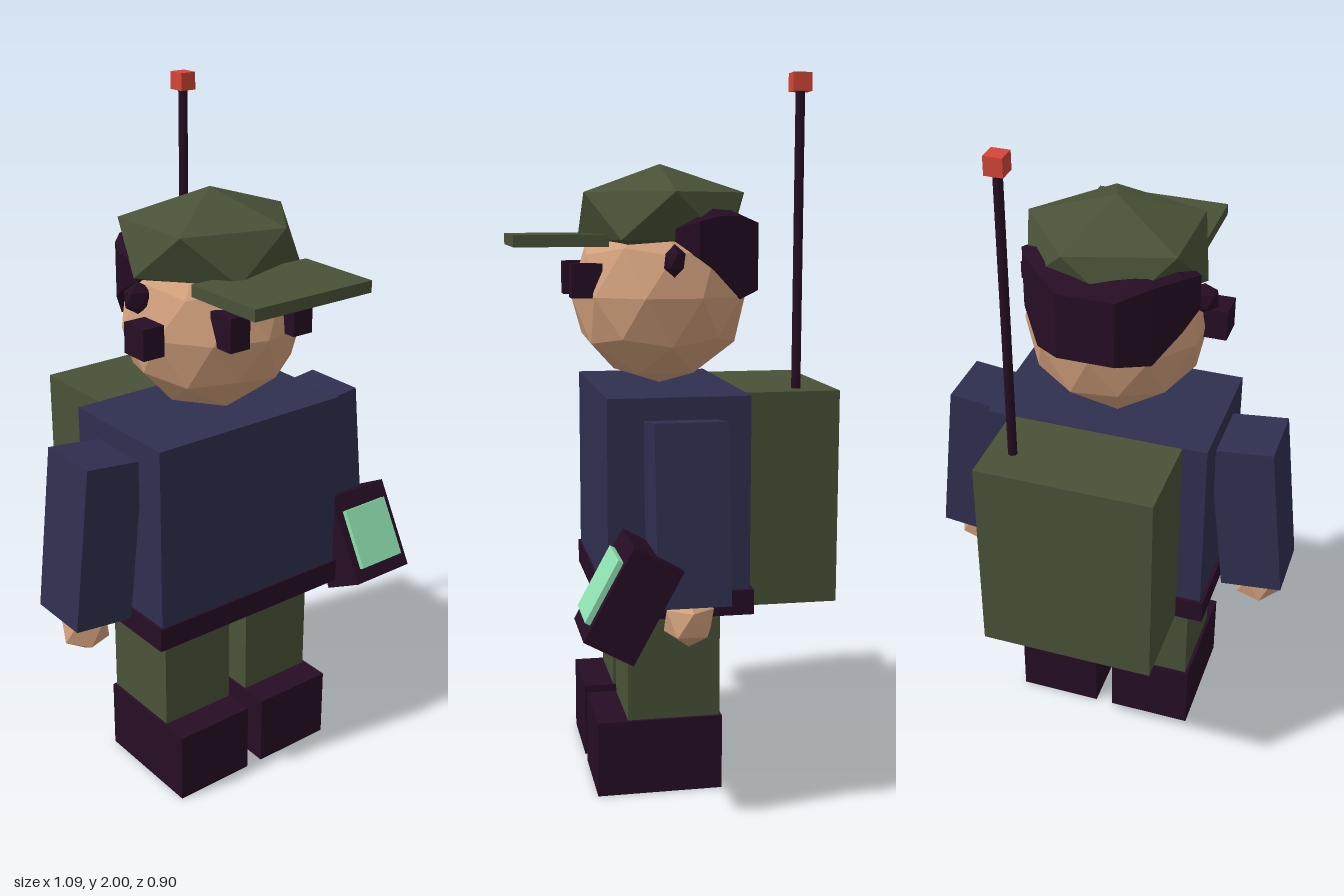
import * as THREE from 'three';

const mat = (name, color, extra = {}) => {
  const m = new THREE.MeshStandardMaterial({ color, ...extra });
  m.name = name;
  return m;
};

export function createModel() {
  const root = new THREE.Group();
  root.name = 'radioSoldier';

  const navy = mat('navyCloth', 0x2f2f50);
  const olive = mat('oliveCloth', 0x495237);
  const dark = mat('darkLeather', 0x260d24);
  const hairMat = mat('darkHair', 0x260d24, { side: THREE.DoubleSide });
  const skin = mat('skin', 0xd2a07c);
  const green = mat('screenGreen', 0x8ee0b0);
  const red = mat('signalRed', 0xd54637);

  const CX = -0.0125, CZ = 0.0175; // body axis

  const add = (name, geo, material, x, y, z, parent = root) => {
    const mesh = new THREE.Mesh(geo, material);
    mesh.name = name;
    mesh.position.set(x, y, z);
    parent.add(mesh);
    return mesh;
  };
  // Box given by its lower and upper limits on each axis
  const block = (name, material, [x0, x1], [y0, y1], [z0, z1]) =>
    add(name, new THREE.BoxGeometry(x1 - x0, y1 - y0, z1 - z0), material,
      (x0 + x1) / 2, (y0 + y1) / 2, (z0 + z1) / 2);
  // Faceted ball standing on a vertex
  const ball = (rx, ry, rz, detail) => {
    const g = new THREE.IcosahedronGeometry(1, detail);
    g.rotateZ(-Math.atan2(2, 1 + Math.sqrt(5)));
    g.scale(rx, ry, rz);
    g.computeVertexNormals();
    return g;
  };

  // Torso, belt, backpack
  block('torso', navy, [-0.333, 0.308], [0.58, 1.135], [-0.18, 0.215]);
  block('belt', dark, [-0.343, 0.318], [0.525, 0.595], [-0.19, 0.221]);
  block('backpack', olive, [-0.262, 0.24], [0.527, 1.134], [-0.45, -0.175]);

  // Antenna
  add('antenna', new THREE.CylinderGeometry(0.0135, 0.0135, 0.86, 8), dark, 0.167, 1.53, -0.343);
  add('antennaTip', new THREE.BoxGeometry(0.05, 0.05, 0.053), red, 0.167, 1.975, -0.343);

  // Limbs, mirrored about the body axis
  for (const s of [-1, 1]) {
    const side = s > 0 ? 'left' : 'right';
    add(side + 'Leg', new THREE.BoxGeometry(0.235, 0.4, 0.262), olive, CX + s * 0.15, 0.4, 0.023);
    add(side + 'Boot', new THREE.BoxGeometry(0.25, 0.215, 0.355), dark, CX + s * 0.152, 0.1075, 0.0635);
    const arm = add(side + 'Arm', new THREE.BoxGeometry(0.18, 0.48, 0.195), navy, CX + s * 0.421, 0.843, CZ);
    arm.rotation.z = s * 0.112;
    add(side + 'Hand', ball(0.075, 0.075, 0.075, 0), skin, CX + s * 0.45, 0.558, CZ);
    add(side + 'Ear', ball(0.045, 0.045, 0.032, 0), dark, CX + s * 0.243, 1.495, CZ);
    add(side + 'Eye', new THREE.BoxGeometry(0.065, 0.095, 0.085), dark, CX + s * 0.108, 1.438, 0.243);
  }

  // Head, earpiece, cap
  add('head', ball(0.256, 0.256, 0.256, 1), skin, CX, 1.393, CZ);
  block('earpiece', dark, [-0.317, -0.25], [1.36, 1.447], [0.04, 0.128]);
  add('capCrown', ball(0.283, 0.145, 0.268, 0), olive, CX, 1.615, 0.0155);
  block('capBrim', olive, [-0.207, 0.185], [1.532, 1.565], [0.19, 0.447]);

  // Hair: a faceted band around the back; columns hold x, z, top and bottom heights
  const half = [
    [0.215, 0.01, 1.58, 1.545],
    [0.25, -0.05, 1.6, 1.5],
    [0.222, -0.115, 1.615, 1.46],
    [0.16, -0.185, 1.615, 1.385],
    [0.08, -0.255, 1.595, 1.405],
  ];
  const columns = [...half, ...half.slice().reverse().map(([x, z, t, b]) => [-x, z, t, b])];
  const pos = [], idx = [];
  columns.forEach(([x, z, t, b], i) => {
    pos.push(x * 0.75, t + 0.03, z * 0.75, x, t, z, x, b, z, x * 0.8, b + 0.01, z * 0.8);
    if (i === 0) return;
    for (let r = 0; r < 3; r++) {
      const p = (i - 1) * 4 + r, q = i * 4 + r;
      idx.push(p, p + 1, q, q, p + 1, q + 1);
    }
  });
  const band = new THREE.BufferGeometry();
  band.setAttribute('position', new THREE.Float32BufferAttribute(pos, 3));
  band.setIndex(idx.reverse());
  const hairGeo = band.toNonIndexed();
  hairGeo.computeVertexNormals();
  add('hair', hairGeo, hairMat, CX, 0, 0);

  // Handheld device, leaning back
  const device = new THREE.Group();
  device.name = 'handheldDevice';
  device.position.set(0.436, 0.631, 0.18);
  device.rotation.x = -0.5;
  root.add(device);
  add('deviceCase', new THREE.BoxGeometry(0.212, 0.277, 0.147), dark, 0, 0, 0, device);
  add('deviceScreen', new THREE.BoxGeometry(0.162, 0.183, 0.03), green, 0, -0.005, 0.0735, device);

  return root;
}
